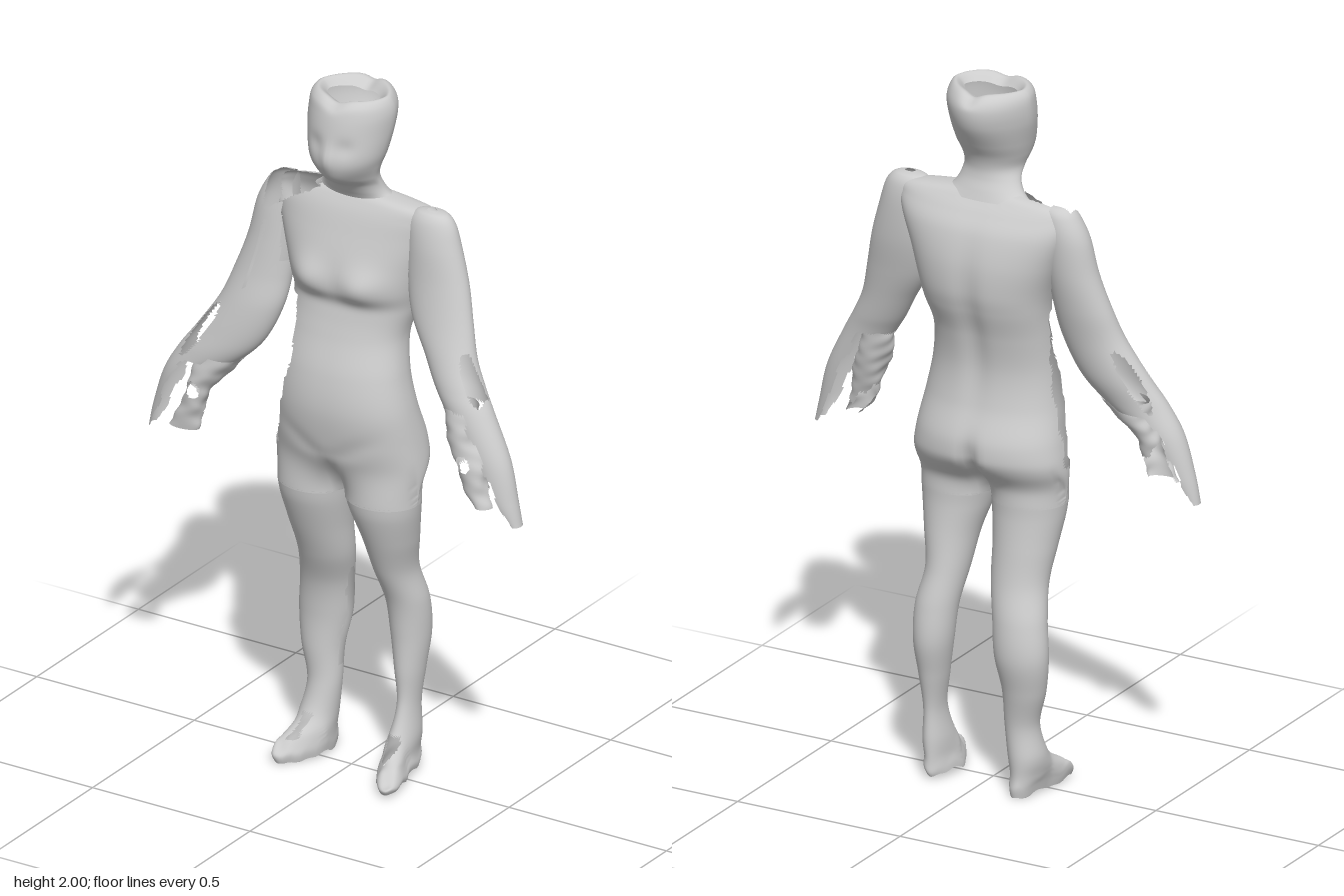
import * as THREE from 'three';

const skin = new THREE.MeshStandardMaterial({ color: 0xcccccc, side: THREE.DoubleSide });
const { smoothstep } = THREE.MathUtils;

// smooth bump that fades out around a point
const bump = (a, b, ra, rb) => Math.exp(-((a / ra) ** 2) - (b / rb) ** 2);
// small wobble for torn edges
const ragged = (a, b) => 0.006 * Math.sin(50 * a + 65 * b) + 0.003 * Math.sin(130 * a - 60 * b);

function spline(a, b, c, d, t) {
  return 0.5 * (2 * b + (c - a) * t + (2 * a - 5 * b + 4 * c - d) * t * t + (3 * b - a - 3 * c + d) * t * t * t);
}

// Skin through level sections, bottom to top: [y, xMin, xMax, zFront, zBack].
// shape(p, front) moves a vertex; torn(p, c) removes a triangle (c = cosine around the section).
function loft(name, sections, { n = 2, sides = 56, steps = 10, shape, torn } = {}) {
  const rows = (sections.length - 1) * steps + 1;
  const pos = [], index = [];
  const pw = v => Math.sign(v) * Math.abs(v) ** (2 / n);
  const at = i => sections[Math.min(Math.max(i, 0), sections.length - 1)];
  const p = new THREE.Vector3();
  for (let r = 0; r < rows; r++) {
    const k = Math.min(Math.floor(r / steps), sections.length - 2), t = r / steps - k;
    const [y, x0, x1, zf, zb] = at(k).map((v, i) => spline(at(k - 1)[i], v, at(k + 1)[i], at(k + 2)[i], t));
    for (let s = 0; s < sides; s++) {
      const a = (s / sides) * Math.PI * 2;
      p.set((x0 + x1) / 2 + (x1 - x0) / 2 * pw(Math.cos(a)), y, (zf + zb) / 2 + (zf - zb) / 2 * pw(Math.sin(a)));
      if (shape) shape(p, Math.sin(a));
      pos.push(p.x, p.y, p.z);
    }
  }
  const mid = new THREE.Vector3();
  const face = (a, b, c, cos) => {
    mid.set(0, 0, 0);
    for (const i of [a, b, c]) mid.add(p.fromArray(pos, i * 3));
    if (!torn || !torn(mid.multiplyScalar(1 / 3), cos)) index.push(a, b, c);
  };
  for (let r = 0; r < rows - 1; r++) {
    for (let s = 0; s < sides; s++) {
      const a = r * sides + s, b = r * sides + (s + 1) % sides, cos = Math.cos(((s + 0.5) / sides) * Math.PI * 2);
      face(a, a + sides, b, cos);
      face(b, a + sides, b + sides, cos);
    }
  }
  const g = new THREE.BufferGeometry();
  g.setAttribute('position', new THREE.Float32BufferAttribute(pos, 3));
  g.setIndex(index);
  g.computeVertexNormals();
  const mesh = new THREE.Mesh(g, skin);
  mesh.name = name;
  return mesh;
}

export function createModel() {
  const model = new THREE.Group();
  model.name = 'figure';

  // head, open at the crown with the rim rolled inward
  model.add(loft('head', [
    [1.68, -0.13, 0.135, 0.02, -0.08], [1.705, -0.1, 0.105, 0.035, -0.07],
    [1.735, -0.084, 0.092, 0.06, -0.058], [1.765, -0.082, 0.092, 0.105, -0.055],
    [1.8, -0.094, 0.102, 0.126, -0.065], [1.84, -0.105, 0.115, 0.13, -0.09],
    [1.9, -0.118, 0.126, 0.122, -0.125], [1.95, -0.12, 0.13, 0.112, -0.135],
    [1.982, -0.114, 0.122, 0.1, -0.122], [1.996, -0.096, 0.106, 0.075, -0.095],
    [1.975, -0.074, 0.084, 0.045, -0.06],
  ], {
    shape(p, front) {
      const x = p.x - 0.005;
      if (front > 0) {
        p.z += front * 0.01 * bump(x, p.y - 1.835, 0.018, 0.035);
        p.z -= front * 0.008 * bump(Math.abs(x) - 0.045, p.y - 1.87, 0.025, 0.025);
        p.x -= x * 0.3 * front * bump(p.y - 1.76, 0, 0.04, 1);
      } else {
        p.x += x * 0.22 * front * smoothstep(p.y, 1.8, 1.92);
      }
      p.y -= 0.012 * bump(x, 0, 0.03, 1) * smoothstep(p.y, 1.95, 1.99);
    },
  }));

  // torso, torn open down its right flank and at the right shoulder
  model.add(loft('torso', [
    [0.82, -0.214, 0.214, 0.103, -0.085], [0.86, -0.222, 0.22, 0.108, -0.098],
    [0.92, -0.228, 0.225, 0.118, -0.138],
    [1.0, -0.218, 0.216, 0.138, -0.144], [1.1, -0.2, 0.2, 0.15, -0.112],
    [1.2, -0.187, 0.18, 0.138, -0.1], [1.3, -0.18, 0.167, 0.108, -0.115],
    [1.38, -0.18, 0.185, 0.09, -0.14], [1.44, -0.19, 0.2, 0.098, -0.152],
    [1.52, -0.215, 0.222, 0.088, -0.15], [1.6, -0.24, 0.252, 0.063, -0.13],
    [1.65, -0.245, 0.265, 0.045, -0.1], [1.682, -0.22, 0.25, 0.028, -0.075],
    [1.7, -0.1, 0.105, 0.015, -0.06],
  ], {
    n: 2.2, sides: 88,
    shape(p, front) {
      const ax = Math.abs(p.x);
      if (front > 0) {
        p.z += front * 0.026 * bump(ax - 0.09, p.y - 1.46, 0.065, 0.05);
        p.z -= front * 0.006 * bump(ax - 0.07, p.y - 1.4, 0.12, 0.025);
        p.z -= front * 0.005 * bump(p.y - 0.95 - ax * 0.5, ax - 0.07, 0.03, 0.08);
      } else {
        p.z -= front * 0.025 * bump(p.x, p.y - 0.94, 0.022, 0.06);
        p.z -= front * 0.014 * bump(p.x, p.y - 1.33, 0.035, 0.2);
      }
      // hips divide into the two thighs
      const thigh = 0.009 + Math.sign(front) * 0.094 * Math.sqrt(Math.max(0, 1 - ((ax - 0.107) / 0.107) ** 2));
      p.z += (thigh - p.z) * (1 - smoothstep(p.y, 0.82, 0.96));
    },
    torn(p) {
      const e = ragged(p.z, p.y) * 0.5;
      const edge = p.y > 1.2 ? -0.115 - (p.y - 1.2) * 0.1 : -0.125 - (1.2 - p.y) * 0.24;
      const flank = p.y > 0.93 && p.y < 1.375 && p.z > -0.01 + e && p.x < edge + e;
      const shoulder = p.x < -0.09 && p.z > -0.035 && p.y > 1.6 + (p.x + 0.24) * 0.6 + e;
      return flank || shoulder;
    },
  }));

  // legs and feet, toes turned outward
  const legs = {
    left: [
      [0.015, 0.09, 0.18, 0.135, -0.11], [0.03, 0.092, 0.182, 0.138, -0.115],
      [0.06, 0.1, 0.175, 0.085, -0.112], [0.11, 0.105, 0.176, 0.02, -0.112],
      [0.2, 0.115, 0.17, -0.018, -0.108], [0.3, 0.1, 0.18, -0.02, -0.125],
      [0.4, 0.083, 0.19, -0.02, -0.144], [0.5, 0.073, 0.19, -0.008, -0.135],
      [0.6, 0.057, 0.175, 0.03, -0.11], [0.7, 0.04, 0.193, 0.068, -0.095],
      [0.78, 0.014, 0.208, 0.095, -0.086], [0.825, 0.0, 0.214, 0.103, -0.085],
    ],
    right: [
      [0.006, -0.17, -0.088, 0.105, -0.115], [0.03, -0.175, -0.085, 0.11, -0.118],
      [0.06, -0.182, -0.085, 0.075, -0.112], [0.11, -0.185, -0.083, 0.015, -0.112],
      [0.2, -0.172, -0.076, -0.015, -0.108], [0.3, -0.197, -0.074, -0.018, -0.125],
      [0.4, -0.21, -0.056, -0.02, -0.144], [0.5, -0.2, -0.045, -0.008, -0.135],
      [0.6, -0.186, -0.024, 0.03, -0.11], [0.7, -0.197, -0.016, 0.068, -0.095],
      [0.78, -0.209, -0.006, 0.095, -0.086], [0.825, -0.214, 0.0, 0.103, -0.085],
    ],
  };
  for (const [side, sections] of Object.entries(legs)) {
    const sign = side === 'left' ? 1 : -1;
    model.add(loft(side + 'Leg', sections, {
      sides: 48,
      shape(p) {
        if (p.z > 0) p.x += sign * p.z * 0.4 * smoothstep(0.12 - p.y, 0, 0.06);
        p.y = Math.max(p.y + ragged(p.x, p.z) * smoothstep(0.08 - p.y, 0, 0.04), 0);
      },
      // gap at the instep, and an open seam inside the right calf
      torn: (p, c) => (p.y > 0.06 && p.y < 0.12 && p.z > -0.06 && Math.abs(p.x - sign * 0.14) < 0.015 + ragged(p.x, p.y))
        || (sign < 0 && p.y > 0.25 && p.y < 0.55 && c > 0.96 + ragged(p.y, 0) * 3),
    }));
  }

  // arms: whole above the elbow, fraying to an outer strip below it
  const arms = {
    left: [
      [0.885, 0.56, 0.592, 0.105, 0.06], [0.95, 0.49, 0.578, 0.12, 0.045],
      [1.06, 0.42, 0.55, 0.125, 0.03], [1.18, 0.345, 0.49, 0.12, 0.015],
      [1.24, 0.305, 0.455, 0.11, 0.002], [1.31, 0.265, 0.42, 0.093, -0.012],
      [1.4, 0.21, 0.395, 0.072, -0.032], [1.5, 0.185, 0.37, 0.055, -0.052],
      [1.6, 0.18, 0.34, 0.045, -0.06], [1.66, 0.18, 0.32, 0.033, -0.056],
      [1.688, 0.2, 0.297, 0.018, -0.042], [1.696, 0.235, 0.265, 0.0, -0.02],
    ],
    right: [
      [0.88, -0.6, -0.57, 0.08, 0.04], [0.95, -0.585, -0.5, 0.095, 0.025],
      [1.06, -0.55, -0.42, 0.11, 0.01], [1.14, -0.505, -0.31, 0.112, 0.0],
      [1.21, -0.455, -0.245, 0.104, -0.015], [1.31, -0.39, -0.2, 0.088, -0.028],
      [1.4, -0.355, -0.185, 0.068, -0.045], [1.5, -0.322, -0.175, 0.053, -0.06],
      [1.6, -0.3, -0.17, 0.042, -0.066], [1.66, -0.272, -0.165, 0.03, -0.06],
      [1.685, -0.25, -0.165, 0.015, -0.046], [1.692, -0.23, -0.19, -0.01, -0.025],
    ],
  };
  const tears = {
    left: (p, c) => (p.y < 1.185 && c < 0.15 + 14 * ragged(p.z, p.y))
      || (p.z > 0.05 && bump(p.x - 0.43 + (p.y - 1.27) * 0.5, p.y - 1.27, 0.02, 0.07) > 0.4),
    right: (p, c) => (p.y < 1.12 && -c < 0.35 + 14 * ragged(p.z, p.y))
      || bump(p.x + 0.425 - (p.y - 1.21) * 0.6, p.y - 1.21, 0.022, 0.09) > 0.4
      || (p.z > -0.02 && p.y > 1.36 && p.y < 1.56 && Math.abs(p.x + 0.26 + (1.5 - p.y) * 0.25) < 0.006)
      || (p.z > -0.03 && p.y > 1.6 + (p.x + 0.24) * 0.6 && p.x > -0.255),
  };
  // hands: ragged remnants inside the strip
  const hands = {
    left: [
      [0.92, 0.46, 0.5, 0.12, 0.07], [0.97, 0.42, 0.49, 0.122, 0.06], [1.05, 0.385, 0.475, 0.125, 0.04],
      [1.12, 0.36, 0.45, 0.125, 0.025], [1.19, 0.345, 0.44, 0.118, 0.018],
    ],
    right: [
      [0.915, -0.52, -0.43, 0.115, 0.07], [0.98, -0.48, -0.41, 0.12, 0.055], [1.04, -0.465, -0.395, 0.122, 0.04],
      [1.09, -0.45, -0.35, 0.12, 0.02], [1.14, -0.44, -0.305, 0.112, 0.01],
    ],
  };
  for (const side of ['left', 'right']) {
    const inner = p => p.y > 1.45 && Math.abs(p.x) < 0.2;
    model.add(loft(side + 'Arm', arms[side], { torn: (p, c) => inner(p) || tears[side](p, c) }));
    model.add(loft(side + 'Hand', hands[side], {
      sides: 32,
      shape(p) { p.x += ragged(p.y, p.z) * 0.6; },
      torn: p => (p.y < 0.99 + 4 * ragged(p.x, 0) && p.z < 0.085)
        || (p.z > 0.06 && bump(Math.abs(p.x) - 0.43, p.y - 1.04, 0.025, 0.03) > 0.5),
    }));
  }
  return model;
}
